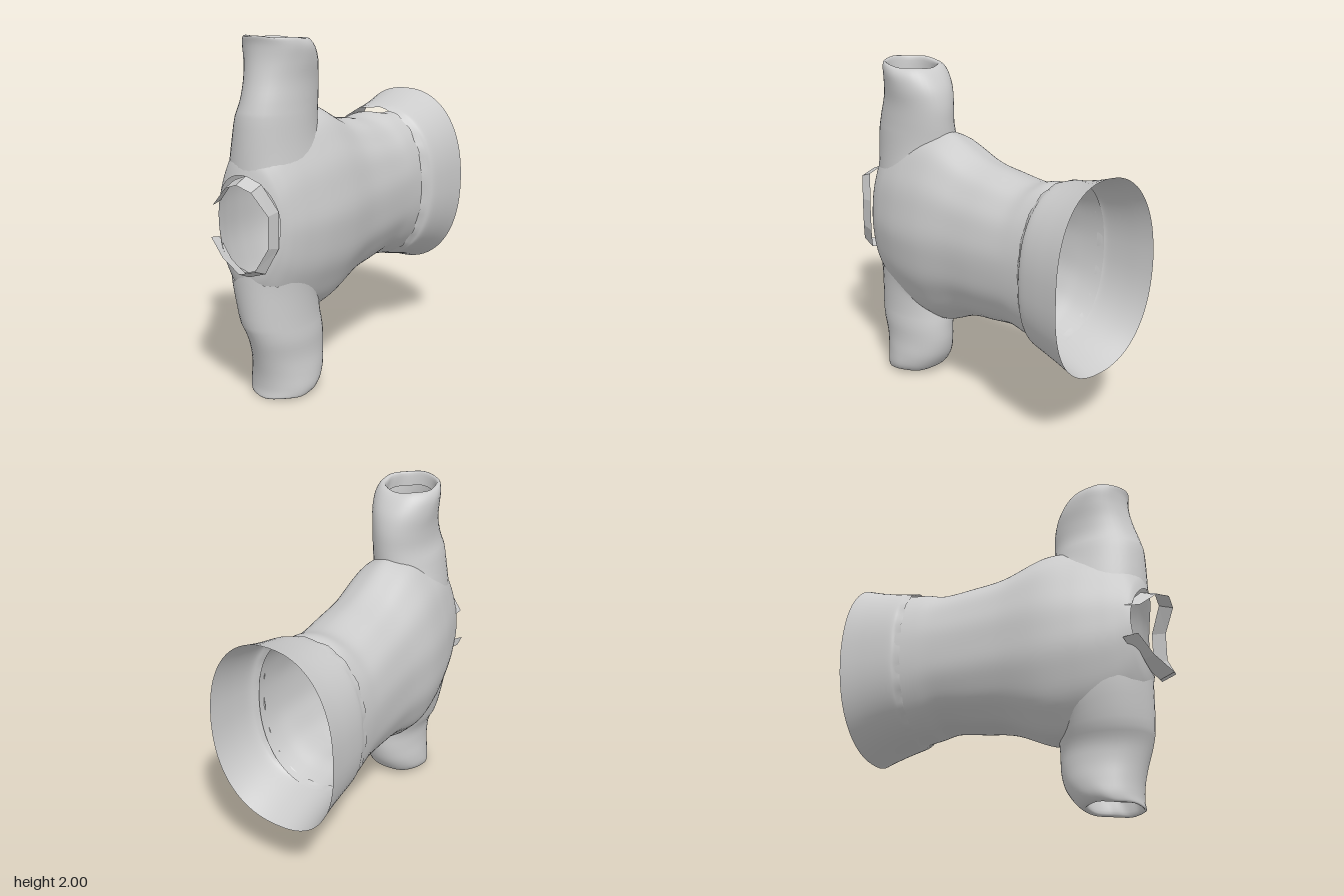
import * as THREE from 'three';

const material = new THREE.MeshStandardMaterial({ color: 0xcccccc, side: THREE.DoubleSide });
const faceted = new THREE.MeshStandardMaterial({ color: 0xcccccc, side: THREE.DoubleSide, flatShading: true });

// Smooth interpolation through rows of section values, t from 0 to 1
function sampleRows(rows, t) {
  const f = t * (rows.length - 1);
  const i = Math.min(Math.floor(f), rows.length - 2), k = f - i;
  const row = n => rows[Math.max(0, Math.min(rows.length - 1, n))];
  return rows[i].map((b, c) => {
    const a = row(i - 1)[c], d = row(i + 1)[c], e = row(i + 2)[c];
    return b + 0.5 * k * (d - a + k * (2 * a - 5 * b + 4 * d - e + k * (3 * (b - d) + e - a)));
  });
}

// Open cloth shell from point(t, angle); quads whose centre passes skip() are left out
function shell(name, nt, na, point, skip = () => false) {
  const pos = [], index = [], pts = [];
  for (let i = 0; i <= nt; i++) for (let j = 0; j < na; j++) {
    const p = point(i / nt, j / na * Math.PI * 2);
    pts.push(p);
    pos.push(p.x, p.y, p.z);
  }
  for (let i = 0; i < nt; i++) for (let j = 0; j < na; j++) {
    const a = i * na + j, b = i * na + (j + 1) % na, c = a + na, d = b + na;
    if (skip(pts[a].clone().add(pts[b]).add(pts[c]).add(pts[d]).multiplyScalar(0.25))) continue;
    index.push(a, b, c, b, d, c);
  }
  return cloth(name, pos, index, material);
}

function cloth(name, pos, index, mat) {
  const geo = new THREE.BufferGeometry();
  geo.setAttribute('position', new THREE.Float32BufferAttribute(pos, 3));
  geo.setIndex(index);
  geo.computeVertexNormals();
  const mesh = new THREE.Mesh(geo, mat);
  mesh.name = name;
  return mesh;
}

// Sine or cosine of a superellipse with exponent n
const rounded = (v, n) => Math.sign(v) * Math.pow(Math.abs(v), 2 / n);

// Body sections from hem to neck: z, x centre, x radius, y radius, setback of the sides, exponent
const bodyRows = [
  [-0.62, -0.034, 0.346, 0.482, 0, 2.2],
  [-0.50, -0.028, 0.338, 0.458, 0, 2.2],
  [-0.38, -0.022, 0.332, 0.432, 0, 2.2],
  [-0.20, -0.015, 0.328, 0.455, 0, 2.15],
  [0.00, -0.012, 0.328, 0.490, 0, 2.1],
  [0.25, -0.008, 0.342, 0.595, 0, 1.95],
  [0.45, 0.000, 0.322, 0.590, 0, 1.9],
  [0.62, 0.004, 0.278, 0.550, 0, 1.9],
  [0.74, 0.002, 0.245, 0.470, 0.03, 1.9],
  [0.81, -0.005, 0.222, 0.360, 0.055, 1.95],
  [0.835, -0.010, 0.208, 0.264, 0.06, 2],
];

function bodyPoint(t, a) {
  const [z, xc, rx, ry, dip, n] = sampleRows(bodyRows, t);
  // shallow cloth folds running along the body, fading at the ends
  const fold = 1 + 0.012 * Math.sin(Math.PI * t) * Math.sin(9 * a + 3 * t) * Math.sin(4 * a + 1);
  // gathered pinch on top beside the hem
  const pinch = 0.06 * Math.exp(-(((a - 1.65) / 0.3) ** 2) - ((z + 0.6) / 0.06) ** 2);
  return new THREE.Vector3(
    xc + rx * fold * rounded(Math.cos(a), n),
    1 + ry * fold * rounded(Math.sin(a), n) + 0.012 * t * t - pinch,
    z - dip * Math.cos(a) ** 2);
}

// Height of the body surface above its centre line
function bodyHeight(x, z) {
  let i = 0;
  while (i < bodyRows.length - 2 && bodyRows[i + 1][0] < z) i++;
  const a = bodyRows[i], b = bodyRows[i + 1];
  const k = THREE.MathUtils.clamp((z - a[0]) / (b[0] - a[0]), 0, 1);
  const [, xc, rx, ry, , n] = a.map((v, c) => v + (b[c] - v) * k);
  const u = Math.min(0.999, Math.abs((x - xc) / rx));
  return ry * Math.pow(1 - Math.pow(u, n), 1 / n);
}

// Sleeve sections: distance from the body's centre line, back z, front z, x radius
const sleeveRows = [
  [0.44, 0.270, 0.830, 0.222],
  [0.55, 0.268, 0.822, 0.198],
  [0.65, 0.266, 0.795, 0.180],
  [0.76, 0.268, 0.760, 0.178],
  [0.86, 0.292, 0.737, 0.190],
  [0.94, 0.340, 0.731, 0.194],
  [0.984, 0.385, 0.737, 0.175],
  [0.975, 0.415, 0.722, 0.148],
  [0.90, 0.400, 0.715, 0.155],
];

function sleeve(name, side, lean) {
  return shell(name, 32, 40, (t, a) => {
    const [h, zb, zf, rx] = sampleRows(sleeveRows, t);
    // small gathers in the cuff
    const gather = 1 + 0.02 * Math.max(0, t - 0.4) * Math.sin(10 * a + 14 * t);
    const x = lean * THREE.MathUtils.smoothstep(t, 0, 0.3) + rx * gather * Math.cos(a);
    const z = (zb + zf) / 2 + (zf - zb) / 2 * Math.sin(a);
    // the root follows the body surface, the cuff tilts up at the front
    const root = Math.max(0, 1 - t * 7);
    const y = THREE.MathUtils.lerp(h, Math.min(bodyHeight(x, z) - 0.01, 0.58), root)
      + 0.014 * t * Math.sin(a) + 0.004 * t * Math.sin(5 * a);
    return new THREE.Vector3(x, 1 + side * y, z);
  });
}

// Flared hem band, stepping out from the body at its seam
const hemRows = [
  [-0.575, -0.032, 0.343, 0.472],
  [-0.605, -0.022, 0.358, 0.482],
  [-0.635, -0.012, 0.377, 0.488],
  [-0.73, -0.006, 0.389, 0.508],
  [-0.83, -0.002, 0.398, 0.535],
  [-0.925, 0.000, 0.408, 0.567],
];

// Neck band outline, open between its first and last point
const collarOutline = [
  [-0.25, 0.89], [-0.12, 0.79], [0.05, 0.735], [0.15, 0.765], [0.2, 0.9],
  [0.2, 1.1], [0.14, 1.25], [0.04, 1.285], [-0.08, 1.24], [-0.225, 1.1],
];

function collar() {
  const pos = [], index = [];
  collarOutline.forEach(([x, y], i) => {
    const z = 0.86 - Math.max(0, 0.04 - x) * 0.44 - Math.max(0, x - 0.14) * 1.1;
    pos.push(x, y, z, x * 0.96, 1.01 + (y - 1.01) * 0.87, z + 0.085);
    if (i) index.push(2 * i - 2, 2 * i, 2 * i - 1, 2 * i - 1, 2 * i, 2 * i + 1);
  });
  return cloth('collar', pos, index, faceted);
}

export function createModel() {
  const group = new THREE.Group();
  group.name = 'petSweater';

  // Body with openings under both sleeves
  const underSleeve = p => Math.abs(p.y - 1) > 0.25
    && ((p.x - 0.015) / 0.18) ** 2 + ((p.z - 0.55) / 0.25) ** 2 < 1;
  group.add(shell('body', 100, 96, bodyPoint, underSleeve));

  group.add(sleeve('upperSleeve', 1, 0.025));
  group.add(sleeve('lowerSleeve', -1, 0.052));

  group.add(shell('hemBand', 20, 72, (t, a) => {
    const [z, xc, rx, ry] = sampleRows(hemRows, t);
    const c = rounded(Math.cos(a), 2.3), s = rounded(Math.sin(a), 2.3);
    // seam puckers at the front, a slightly uneven edge at the back
    const pucker = 0.005 * Math.max(0, 1 - 3 * t) * Math.sin(18 * a);
    const edge = t * (0.012 * s - 0.018 * c * c + 0.022 * Math.max(0, -s) + 0.008 * c);
    return new THREE.Vector3(xc + (rx + pucker) * c, 1.003 + (ry + pucker) * s, z + edge);
  }));

  group.add(collar());
  return group;
}
